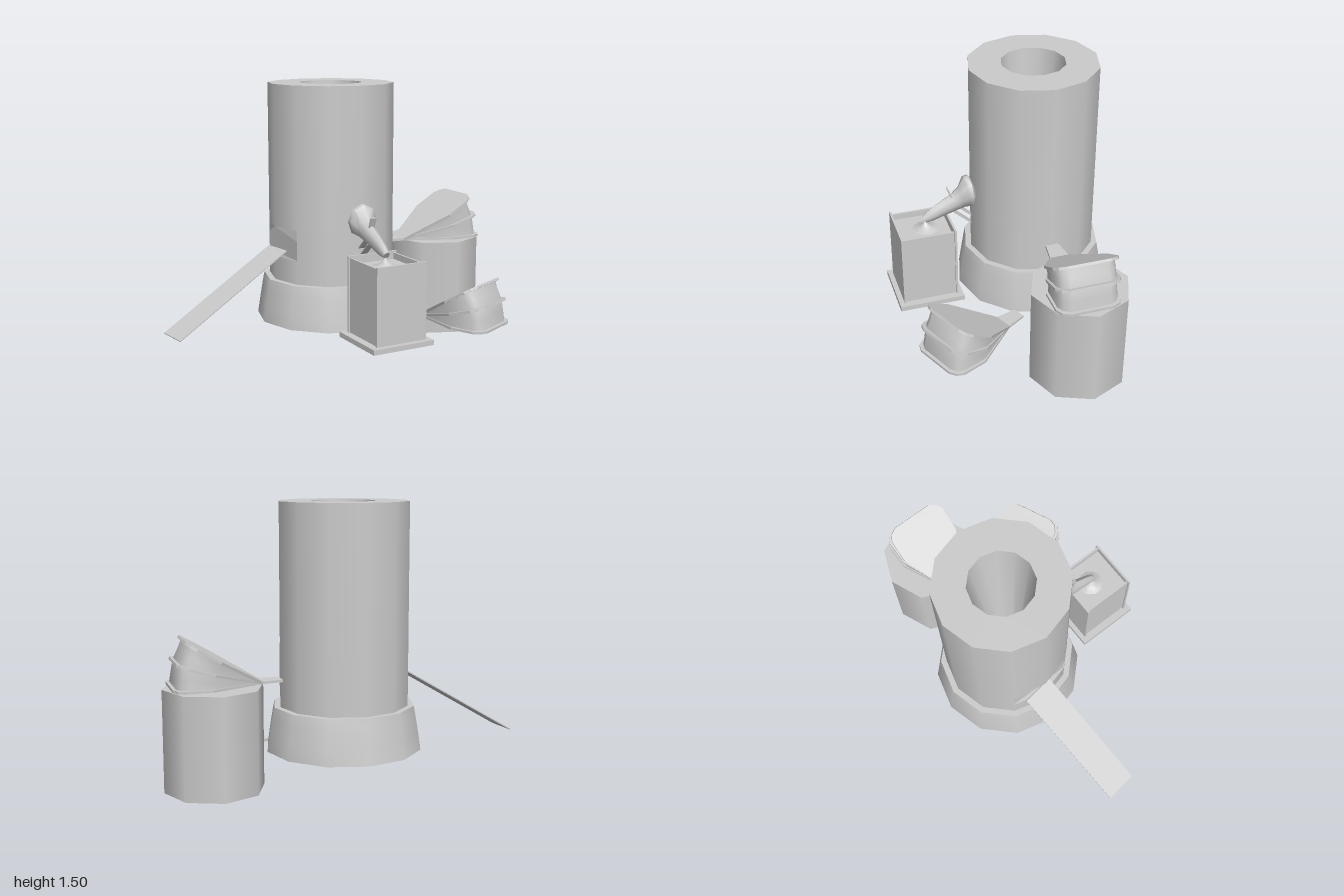
import * as THREE from 'three';
import { toCreasedNormals } from 'three/addons/utils/BufferGeometryUtils.js';

const grey = new THREE.MeshStandardMaterial({ color: 0xcccccc });
const greyDouble = new THREE.MeshStandardMaterial({ color: 0xcccccc, side: THREE.DoubleSide });

function add(parent, name, geometry, x = 0, y = 0, z = 0, material = grey) {
  const mesh = new THREE.Mesh(geometry, material);
  mesh.name = name;
  mesh.position.set(x, y, z);
  parent.add(mesh);
  return mesh;
}

const lathe = (points, sides) => toCreasedNormals(
  new THREE.LatheGeometry(points.map(p => new THREE.Vector2(...p)), sides), 0.65);

// Skin a list of closed rings (arrays of Vector3 with equal counts)
function loft(rings, crease) {
  const positions = [];
  const n = rings[0].length;
  for (let i = 0; i < rings.length - 1; i++) {
    for (let j = 0; j < n; j++) {
      const k = (j + 1) % n;
      const a = rings[i][j], b = rings[i][k], c = rings[i + 1][k], d = rings[i + 1][j];
      for (const v of [a, b, c, a, c, d]) positions.push(v.x, v.y, v.z);
    }
  }
  const geo = new THREE.BufferGeometry();
  geo.setAttribute('position', new THREE.Float32BufferAttribute(positions, 3));
  return toCreasedNormals(geo, crease);
}

// Thin bar between two points
function bar(parent, name, from, to, width, depth) {
  const a = new THREE.Vector3(...from), b = new THREE.Vector3(...to);
  const mesh = add(parent, name, new THREE.BoxGeometry(width, depth, a.distanceTo(b)));
  mesh.position.copy(a).add(b).multiplyScalar(0.5);
  mesh.rotation.x = -Math.atan2(b.y - a.y, b.z - a.z);
}

function createTower() {
  const tower = new THREE.Group();
  tower.name = 'furnaceTower';
  tower.position.set(0.011, 0, -0.192);
  const r = 0.354, step = Math.PI / 6;
  const wall = (name, y0, y1, first = 0, count = 12) => add(tower, name,
    new THREE.CylinderGeometry(r, r, y1 - y0, count, 1, true, first * step, count * step),
    0, (y0 + y1) / 2, 0, greyDouble);
  wall('lowerWall', 0.4, 0.54);
  wall('wallAroundOpening', 0.54, 0.71, 10, 10);
  wall('upperWall', 0.71, 1.5);

  // Pointed arch above the side opening
  const sx = -r * Math.cos(step), sz = r * Math.sin(step);
  for (const s of [-1, 1]) {
    const corner = new THREE.BufferGeometry();
    corner.setAttribute('position', new THREE.Float32BufferAttribute(
      [-r, 0.71, 0, sx, 0.65, s * sz, sx, 0.71, s * sz], 3));
    corner.setIndex(s > 0 ? [0, 1, 2] : [0, 2, 1]);
    corner.computeVertexNormals();
    add(tower, 'openingArch', corner, 0, 0, 0, greyDouble);
  }
  add(tower, 'openingBack', new THREE.BoxGeometry(0.01, 0.17, 2 * sz), sx + 0.008, 0.625, 0);

  // Rim, flue and hearth floor
  add(tower, 'rimAndFlue', lathe([[r, 1.5], [0.175, 1.5], [0.065, 0.41]], 12), 0, 0, 0, greyDouble);
  const floor = new THREE.CircleGeometry(r, 12);
  add(tower, 'hearthFloor', floor, 0, 0.4, 0, greyDouble).rotation.x = -Math.PI / 2;
  add(tower, 'baseSkirt', lathe(
    [[0.427, 0.166], [0.413, 0.26], [0.398, 0.35], [0.387, 0.407], [0.35, 0.407]], 12), 0, 0, 0, greyDouble);
  return tower;
}

// Bellows: hinged teardrop boards with a leather skin, nozzle pointing to -x
function createBellows(name) {
  const bellows = new THREE.Group();
  bellows.name = name;
  const half = [[0, 0.052], [0.28, 0.176], [0.42, 0.176], [0.458, 0.155], [0.478, 0.115]];
  const outline = [...half, ...half.map(([u, v]) => [u, -v]).reverse()];
  const nozzle = [[-0.12, -0.036], [-0.12, 0.036]];
  const angles = [0, 0.28, 0.535];

  angles.forEach((angle, i) => {
    const points = (i === 0 ? [...outline, ...nozzle] : outline).map(p => new THREE.Vector2(...p));
    const geo = new THREE.ExtrudeGeometry(new THREE.Shape(points), { depth: 0.014, bevelEnabled: false });
    geo.rotateX(-Math.PI / 2);
    add(bellows, ['bottomBoard', 'middleRib', 'topBoard'][i], geo).rotation.z = angle;
  });

  const rings = [[0, 0.93], [0.14, 0.91], [0.28, 0.92], [0.41, 0.9], [0.54, 0.92]].map(([angle, inset]) =>
    outline.map(([u, v]) => new THREE.Vector3(u * (0.5 + inset / 2), 0.005, -v * inset)
      .applyAxisAngle(new THREE.Vector3(0, 0, 1), angle)));
  add(bellows, 'leatherSkin', loft(rings, 0.9), 0, 0, 0, greyDouble);
  return bellows;
}

// Pouring spout: oval rings along a drooping path, listed as z, y, half width, half height, tilt
function createSpout() {
  const spout = new THREE.Group();
  spout.name = 'pouringSpout';
  spout.position.x = 0.01;
  const stations = [[0.145, 0.77, 0.001, 0.001, 0.1], [0.145, 0.77, 0.06, 0.065, 0.1],
    [0.162, 0.773, 0.083, 0.093, 0.1], [0.187, 0.77, 0.08, 0.093, 0.1], [0.212, 0.737, 0.05, 0.066, 0.3],
    [0.26, 0.708, 0.038, 0.053, 0.45], [0.34, 0.673, 0.03, 0.045, 0.55], [0.395, 0.645, 0.025, 0.035, 0.6],
    [0.43, 0.63, 0.019, 0.022, 0.6], [0.43, 0.63, 0.001, 0.001, 0.6]];
  const rings = stations.map(([z, y, rx, ry, tilt]) => Array.from({ length: 8 }, (_, i) => {
    const a = i / 8 * Math.PI * 2;
    return new THREE.Vector3(Math.cos(a) * rx, y + Math.sin(a) * ry * Math.cos(tilt), z + Math.sin(a) * ry * Math.sin(tilt));
  }));
  add(spout, 'spoutBody', loft(rings, 1), 0, 0, 0, greyDouble);
  bar(spout, 'spoutTab', [0, 0.74, 0.268], [0, 0.807, 0.293], 0.036, 0.008);
  bar(spout, 'spoutBrace', [0, 0.66, 0.265], [0, 0.57, 0.165], 0.04, 0.006);
  bar(spout, 'spoutBrace', [0, 0.675, 0.225], [0, 0.62, 0.165], 0.04, 0.006);
  return spout;
}

// Open box with plinth, filled nearly to the rim
function createTrough() {
  const trough = new THREE.Group();
  trough.name = 'castingTrough';
  trough.position.set(0.006, 0, 0.438);
  add(trough, 'plinth', new THREE.BoxGeometry(0.365, 0.028, 0.367), 0, 0.18, 0);
  for (const s of [-1, 1]) {
    add(trough, 'endWall', new THREE.BoxGeometry(0.3, 0.42, 0.012), 0, 0.405, s * 0.15);
    add(trough, 'sideWall', new THREE.BoxGeometry(0.012, 0.41, 0.295), s * 0.135, 0.4, 0);
  }
  add(trough, 'fill', new THREE.BoxGeometry(0.265, 0.36, 0.295), 0, 0.39, 0);
  add(trough, 'fillMound', lathe([[0.075, 0.57], [0.04, 0.58], [0.018, 0.597], [0.001, 0.618]], 10), 0, 0, -0.015);
  return trough;
}

export function createModel() {
  const model = new THREE.Group();
  model.name = 'smeltingFurnace';
  model.add(createTower(), createSpout(), createTrough());

  // Sloping chute from the side opening
  const chute = add(model, 'chute', new THREE.BoxGeometry(0.785, 0.006, 0.182), -0.65, 0.378, -0.173);
  chute.rotation.set(0, 0.135, 0.53);

  // Hollow stand under the upper bellows
  const stand = new THREE.Group();
  stand.name = 'bellowsStand';
  stand.position.set(0.732, 0, -0.215);
  add(stand, 'standWall', new THREE.CylinderGeometry(0.268, 0.268, 0.55, 8, 1, true), 0, 0.275, 0, greyDouble);
  add(stand, 'standTop', new THREE.CircleGeometry(0.268, 8), 0, 0.55, 0, greyDouble).rotation.x = -Math.PI / 2;

  const upper = createBellows('upperBellows');
  upper.position.set(0.48, 0.551, -0.195);
  const lower = createBellows('lowerBellows');
  lower.position.set(0.461, 0.167, 0.116);
  lower.rotation.y = -1.145;
  model.add(stand, upper, lower);
  return model;
}
